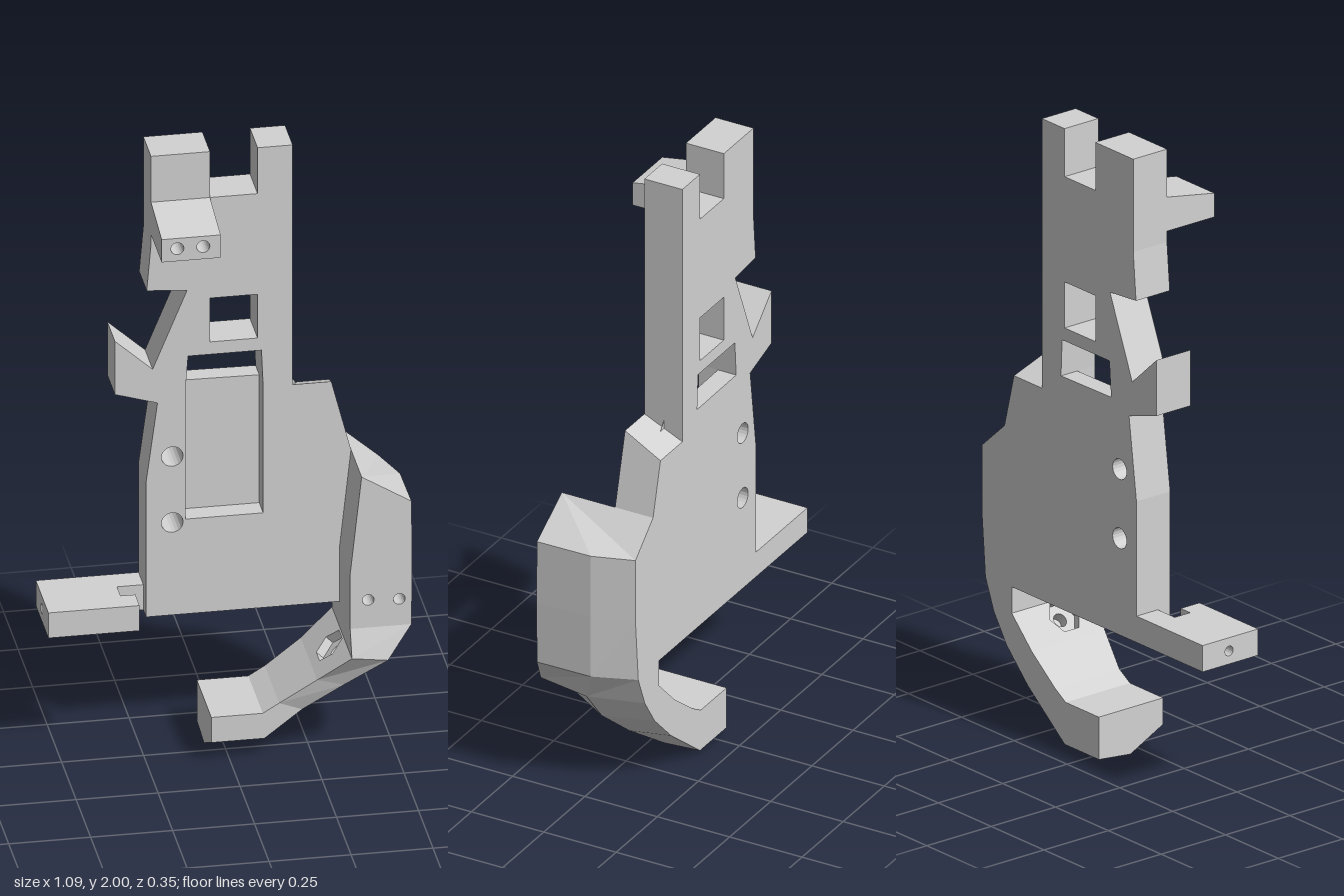
import * as THREE from 'three';

const grey = new THREE.MeshStandardMaterial({ color: 0xd2d2d2, flatShading: true });
grey.name = 'plain grey';

const BACK = -0.173, FRONT = -0.042, MID = -0.11;

const toPts = (list) => list.map(([x, y]) => new THREE.Vector2(x, y));
const ngon = (x, y, r, n = 20) => Array.from({ length: n }, (_, i) => {
  const a = (i / n) * Math.PI * 2;
  return [x + r * Math.cos(a), y + r * Math.sin(a)];
});
const rect = (x0, y0, x1, y1) => [[x0, y0], [x1, y0], [x1, y1], [x0, y1]];

function makeShape(outline, holes = []) {
  const s = new THREE.Shape(toPts(outline));
  holes.forEach((h) => s.holes.push(new THREE.Path(toPts(h))));
  return s;
}
function slab(outline, holes, z0, z1) {
  const g = new THREE.ExtrudeGeometry(makeShape(outline, holes), { depth: z1 - z0, bevelEnabled: false });
  return g.translate(0, 0, z0);
}
function mesh(name, geometry) {
  const m = new THREE.Mesh(geometry, grey);
  m.name = name;
  return m;
}
// Moves vertices by a rule
function warp(g, rule) {
  const p = g.attributes.position, v = new THREE.Vector3();
  for (let i = 0; i < p.count; i++) {
    rule(v.fromBufferAttribute(p, i));
    p.setXYZ(i, v.x, v.y, v.z);
  }
  g.computeVertexNormals();
  return g;
}
// Blind hole with its mouth at z = 0; the floor may have a round bore
function recess(name, r, n, depth, bores = []) {
  const group = new THREE.Group();
  group.name = name;
  // mirroring turns the wall faces toward the axis
  let wall = new THREE.CylinderGeometry(r, r, depth, n, 1, true);
  wall.rotateX(Math.PI / 2).rotateZ(Math.PI / 2).translate(0, 0, -depth / 2).scale(-1, 1, 1);
  wall = wall.toNonIndexed();
  wall.computeVertexNormals();
  const floor = new THREE.ShapeGeometry(makeShape(ngon(0, 0, r, n), bores));
  group.add(mesh(name + 'Wall', wall), mesh(name + 'Floor', floor.translate(0, 0, -depth)));
  return group;
}

// Flat frame: two layers, the front one carrying the pocket
function addFrame(root) {
  const outline = [
    [-0.235, 0.445], [0.45, 0.445], [0.48, 0.6], [0.47, 0.87], [0.39, 0.955], [0.33, 1.19], [0.212, 1.19],
    [0.212, 2], [0.105, 2], [0.105, 1.845], [-0.04, 1.845], [-0.04, 2], [-0.22, 2], [-0.22, 1.7],
    [-0.233, 1.547], [-0.11, 1.537], [-0.215, 1.28], [-0.33, 1.385], [-0.33, 1.205], [-0.2, 1.165],
    [-0.235, 0.9],
  ];
  const common = [rect(-0.04, 1.357, 0.105, 1.505), ngon(-0.155, 0.98, 0.033), ngon(-0.155, 0.757, 0.033)];
  const slot = [[-0.115, 1.2], [0.122, 1.197], [0.117, 1.315], [-0.107, 1.315]];
  const pocket = [[-0.115, 0.765], [0.122, 0.765], [0.122, 1.197], [0.117, 1.315], [-0.107, 1.315], [-0.115, 1.2]];
  // the shoulder slopes down toward the back
  const shoulder = (v) => {
    if (v.x > 0.2 && Math.abs(v.y - 1.19) < 0.001) {
      const t = (FRONT - v.z) / (FRONT - BACK);
      v.y -= 0.06 * t;
      if (v.x > 0.3) v.x += 0.015 * t;
    }
  };
  root.add(mesh('frameBack', warp(slab(outline, [...common, slot], BACK, MID), shoulder)));
  root.add(mesh('frameFront', warp(slab(outline, [...common, pocket], MID, FRONT), shoulder)));
}

// Block near the top with two screw holes and a sloping top
function addMount(root) {
  const holes = [-0.172, -0.093].map((x) => ngon(x, 1.777, 0.02));
  const g = slab(rect(-0.22, 1.735, -0.04, 1.812), holes, FRONT, 0.142);
  root.add(mesh('mountBlock', warp(g, (v) => { if (v.z < 0 && v.y > 1.81) v.y = 1.845; })));
}

// Side arm with a notch beside the frame and a hole in its end
function addArm(root) {
  const end = slab(rect(-0.043, 0.445, -BACK, 0.53), [ngon(0.07, 0.487, 0.016, 16)], -0.548, -0.315);
  end.rotateY(Math.PI / 2); // (x, z) becomes (z, -x)
  root.add(mesh('armEnd', end));
  const box = (name, x0, x1, z0, z1) => {
    const b = new THREE.BoxGeometry(x1 - x0, 0.085, z1 - z0);
    root.add(mesh(name, b.translate((x0 + x1) / 2, 0.4875, (z0 + z1) / 2)));
  };
  box('armLip', -0.315, -0.27, -0.03, 0.043);
  box('armLink', -0.315, -0.235, BACK, -0.09);
}

// Curved grip: cross-sections from the top down to the hook tip
function addGrip(root) {
  // inner edge x, y, z; outer front x, y, z; outer ridge x, y, z; outer back x, y
  const stations = [
    [0.39, 0.955, 0.142, 0.542, 0.86, 0.142, 0.54, 0.86, -0.043, 0.497, 0.86],
    [0.355, 0.63, 0.142, 0.544, 0.65, 0.142, 0.542, 0.65, -0.043, 0.497, 0.65],
    [0.355, 0.445, 0.142, 0.542, 0.445, 0.142, 0.54, 0.445, -0.043, 0.48, 0.44],
    [0.355, 0.36, 0.173, 0.465, 0.345, 0.173, 0.49, 0.34, 0, 0.44, 0.34],
    [0.26, 0.265, 0.11, 0.34, 0.247, 0.12, 0.415, 0.24, -0.01, 0.38, 0.25],
    [0.15, 0.18, 0.077, 0.22, 0.153, 0.077, 0.3, 0.14, -0.04, 0.28, 0.15],
    [0.1, 0.15, 0.077, 0.105, 0.065, 0.077, 0.105, 0.005, -0.05, 0.105, 0.013],
    [-0.057, 0.15, 0.077, -0.057, 0.065, 0.077, -0.057, 0, -0.05, -0.057, 0.013],
  ];
  const rings = stations.map((s) => [
    s.slice(0, 3), s.slice(3, 6), s.slice(6, 9), [s[9], s[10], BACK], [s[0], s[1], BACK],
  ]);
  const pos = [];
  const tri = (...c) => c.forEach((v) => pos.push(...v));
  for (let i = 0; i < rings.length - 1; i++) {
    for (let j = 0; j < 5; j++) {
      // faces with holes are added separately
      if ((j === 0 && i < 2) || (j === 4 && i === 3)) continue;
      const k = (j + 1) % 5, [p, q] = [rings[i], rings[i + 1]];
      tri(p[j], q[j], p[k]);
      tri(p[k], q[j], q[k]);
    }
  }
  const top = rings[0], tip = rings[rings.length - 1];
  for (let j = 1; j < 4; j++) {
    tri(top[0], top[j], top[j + 1]);
    tri(tip[0], tip[j + 1], tip[j]);
  }
  const g = new THREE.BufferGeometry();
  g.setAttribute('position', new THREE.Float32BufferAttribute(pos, 3));
  g.computeVertexNormals();
  root.add(mesh('grip', g));

  // front face with two screw holes
  const screws = [[0.41, 0.538], [0.505, 0.533]];
  const edge = [...[0, 1, 2].map((i) => rings[i][0]), ...[2, 1, 0].map((i) => rings[i][1])];
  const face = new THREE.ShapeGeometry(makeShape(edge, screws.map(([x, y]) => ngon(x, y, 0.018))));
  root.add(mesh('gripFrontFace', face.translate(0, 0, 0.142)));
  screws.forEach(([x, y]) => {
    const r = recess('gripScrewHole', 0.018, 20, 0.1);
    r.position.set(x, y, 0.142);
    root.add(r);
  });

  // slanted inner face with a hexagonal nut seat and a bore below it
  const [a, b] = [rings[3][0], rings[4][0]];
  const len = Math.hypot(a[0] - b[0], a[1] - b[1]);
  const seat = new THREE.Group();
  seat.name = 'nutSeat';
  const inner = [[BACK, 0], [b[2], 0], [a[2], len], [BACK, len]];
  const centre = len / 2 + 0.012;
  seat.add(mesh('nutSeatFace', new THREE.ShapeGeometry(makeShape(inner, [ngon(0, centre, 0.056, 6)]))));
  const nut = recess('nutRecess', 0.056, 6, 0.03, [ngon(0, 0, 0.022)]);
  const bore = recess('nutBore', 0.022, 20, 0.035);
  nut.position.y = bore.position.y = centre;
  bore.position.z = -0.03;
  seat.add(nut, bore);
  const h = Math.SQRT1_2;
  const basis = new THREE.Matrix4().makeBasis(
    new THREE.Vector3(0, 0, 1), new THREE.Vector3(h, h, 0), new THREE.Vector3(-h, h, 0));
  seat.quaternion.setFromRotationMatrix(basis);
  seat.position.set(b[0], b[1], 0);
  root.add(seat);
}

export function createModel() {
  const root = new THREE.Group();
  root.name = 'bracketFrame';
  addFrame(root);
  addMount(root);
  addArm(root);
  addGrip(root);
  return root;
}
